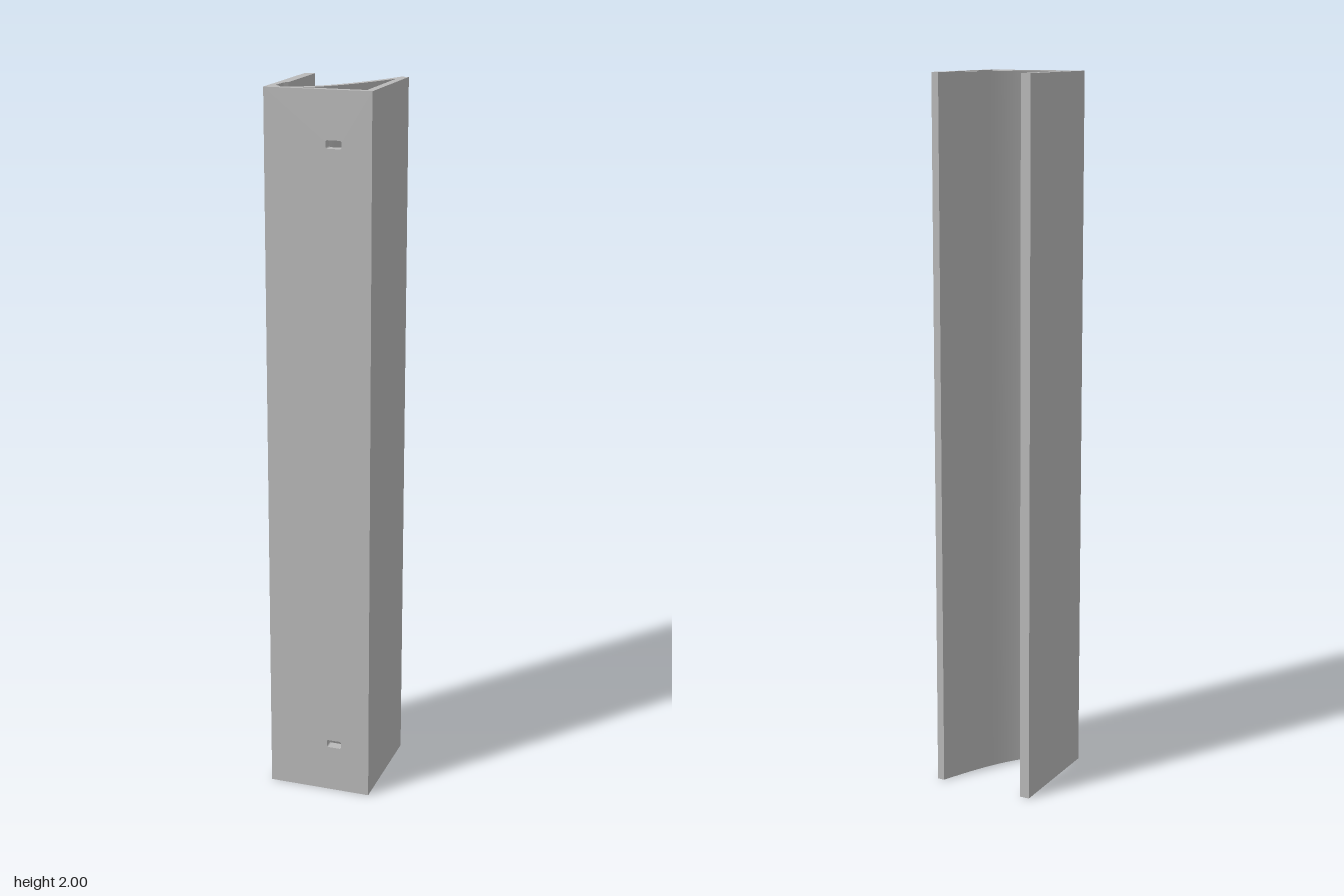
import * as THREE from 'three';
import { toCreasedNormals } from 'three/addons/utils/BufferGeometryUtils.js';

const W = 0.1475, D = 0.16, H = 2;      // half width, half depth, height
const FRONT = 0.14;                     // inner face of the front wall
const SLOT_X = 0.0435, SLOT_YS = [0.145, 1.86];

// Upright extrusion of a plan outline given as [x, z] points
function upright(points) {
  const shape = new THREE.Shape(points.map(([x, z]) => new THREE.Vector2(x, -z)));
  const geo = new THREE.ExtrudeGeometry(shape, { depth: H, bevelEnabled: false });
  geo.rotateX(-Math.PI / 2);
  return toCreasedNormals(geo, 0.4);
}

// Upright plate with rounded slots cut through it from front to back
function slottedPlate(x0, x1, y0, y1, z, depth, slotYs) {
  const shape = new THREE.Shape([[x0, y0], [x1, y0], [x1, y1], [x0, y1]].map((p) => new THREE.Vector2(...p)));
  const hw = 0.0215, hh = 0.011, r = 0.005;
  for (const y of slotYs) {
    const hole = new THREE.Path();
    hole.absarc(SLOT_X + hw - r, y + hh - r, r, 0, Math.PI / 2);
    hole.absarc(SLOT_X - hw + r, y + hh - r, r, Math.PI / 2, Math.PI);
    hole.absarc(SLOT_X - hw + r, y - hh + r, r, Math.PI, Math.PI * 1.5);
    hole.absarc(SLOT_X + hw - r, y - hh + r, r, Math.PI * 1.5, Math.PI * 2);
    hole.closePath();
    shape.holes.push(hole);
  }
  const geo = new THREE.ExtrudeGeometry(shape, { depth, bevelEnabled: false, curveSegments: 5 });
  geo.translate(0, 0, z);
  return geo;
}

// Parabolic web: point at t, pushed out along the normal by d
function webPoint(t, d = 0) {
  const run = 0.239, rise = 0.3, slope = (2 * rise * t) / run, len = Math.hypot(1, slope);
  return [-0.112 + run * t + (d * slope) / len, FRONT - rise * t * t + d / len];
}

export function createModel() {
  const group = new THREE.Group();
  const grey = new THREE.MeshStandardMaterial({ color: 0xbababa });
  grey.name = 'plain grey';
  const add = (name, geo) => {
    const mesh = new THREE.Mesh(geo, grey);
    mesh.name = name;
    group.add(mesh);
  };

  // Front wall with the two mounting slots
  add('frontWall', slottedPlate(-W, W, 0, H, FRONT, D - FRONT, SLOT_YS));

  // Side wall with the snap groove near the front
  add('groovedWall', upright([
    [-W, -D], [-W, FRONT], [-0.119, FRONT], [-0.119, 0.12],
    [-0.129, 0.12], [-0.129, 0.06], [-0.119, 0.05], [-0.119, -D],
  ]));

  // Plain side wall
  add('plainWall', upright([[0.127, -D], [0.127, FRONT], [W, FRONT], [W, -D]]));

  // Curved web from the front wall to the back edge of the plain wall
  const N = 24, web = [];
  for (let i = 0; i <= N; i++) web.push(webPoint(i / N));
  web.push([0.127, -0.111]);
  for (let i = N - 1; i > 0; i--) web.push(webPoint(0.23 + (0.7 * i) / N, 0.0187));
  web.push([-0.048, FRONT]);
  add('curvedWeb', upright(web));

  // Slotted backing plates behind the mounting slots
  for (const y of SLOT_YS) {
    add('backingPlate', slottedPlate(-0.003, 0.097, y - 0.05, y + 0.05, 0.131, FRONT - 0.131, [y]));
  }
  return group;
}
